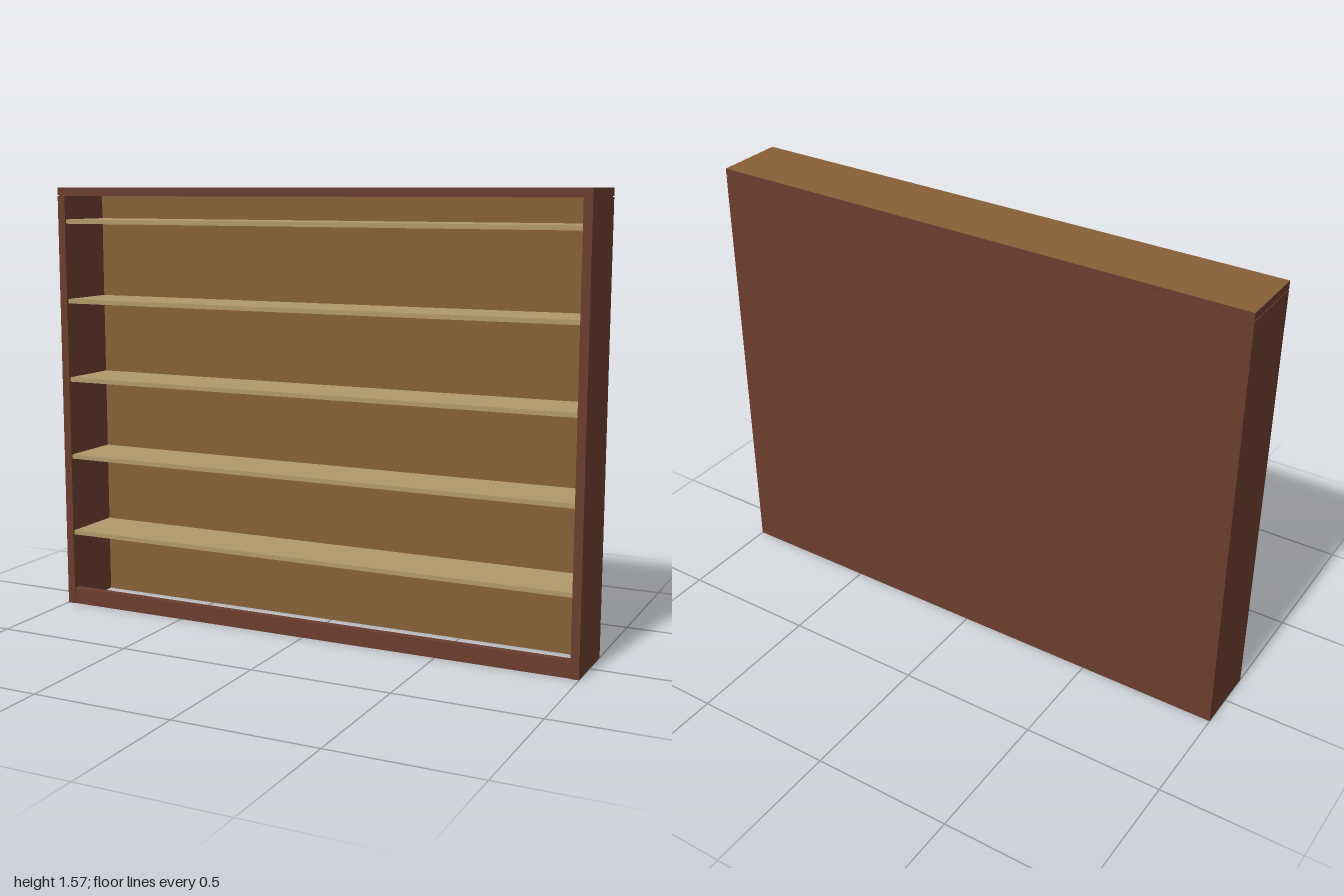
import * as THREE from 'three';

export function createModel() {
  const model = new THREE.Group();
  model.name = 'bookcase';

  const material = (name, color) => {
    const m = new THREE.MeshStandardMaterial({ color });
    m.name = name;
    return m;
  };
  const redWood = material('red brown wood', 0x6b3d2e);
  const tanWood = material('tan wood', 0x875f37);
  const paleWood = material('pale shelf wood', 0xb0986a);

  // Box given by its lower and upper corners
  const board = (name, mat, [x0, y0, z0], [x1, y1, z1]) => {
    const geometry = new THREE.BoxGeometry(x1 - x0, y1 - y0, z1 - z0);
    const mesh = new THREE.Mesh(geometry, mat);
    mesh.position.set((x0 + x1) / 2, (y0 + y1) / 2, (z0 + z1) / 2);
    mesh.name = name;
    model.add(mesh);
    return mesh;
  };

  const front = 0.125, back = -0.125, inner = 0.97;
  const sideTop = 1.54, height = 1.57;

  // Box face order: +x, -x, +y, -y, +z, -z
  const topFaces = [redWood, redWood, tanWood, redWood, redWood, redWood];
  const backFaces = [redWood, redWood, redWood, redWood, tanWood, redWood];

  // Side panels
  board('leftSide', redWood, [inner, 0, -0.115], [1, sideTop, front]);
  board('rightSide', redWood, [-1, 0, -0.115], [-inner, sideTop, front]);

  // Back panel, tan on the inside
  board('backPanel', backFaces, [-1, 0, back], [1, sideTop, -0.115]);

  // Top slab on a slightly recessed neck that leaves a fine groove
  board('topGroove', redWood, [-0.996, sideTop, -0.121], [0.996, 1.544, 0.121]);
  board('topSlab', topFaces, [-1, 1.544, back], [1, height, front]);

  // Kick board at the front; the base is open behind it
  board('kickBoard', redWood, [-inner, 0, 0.095], [inner, 0.06, 0.122]);

  // Five shelves
  for (let i = 0; i < 5; i++) {
    const y = 0.285 + i * 0.2925;
    board(`shelf${i + 1}`, paleWood, [-inner, y - 0.016, -0.115], [inner, y, 0.118]);
  }

  return model;
}
